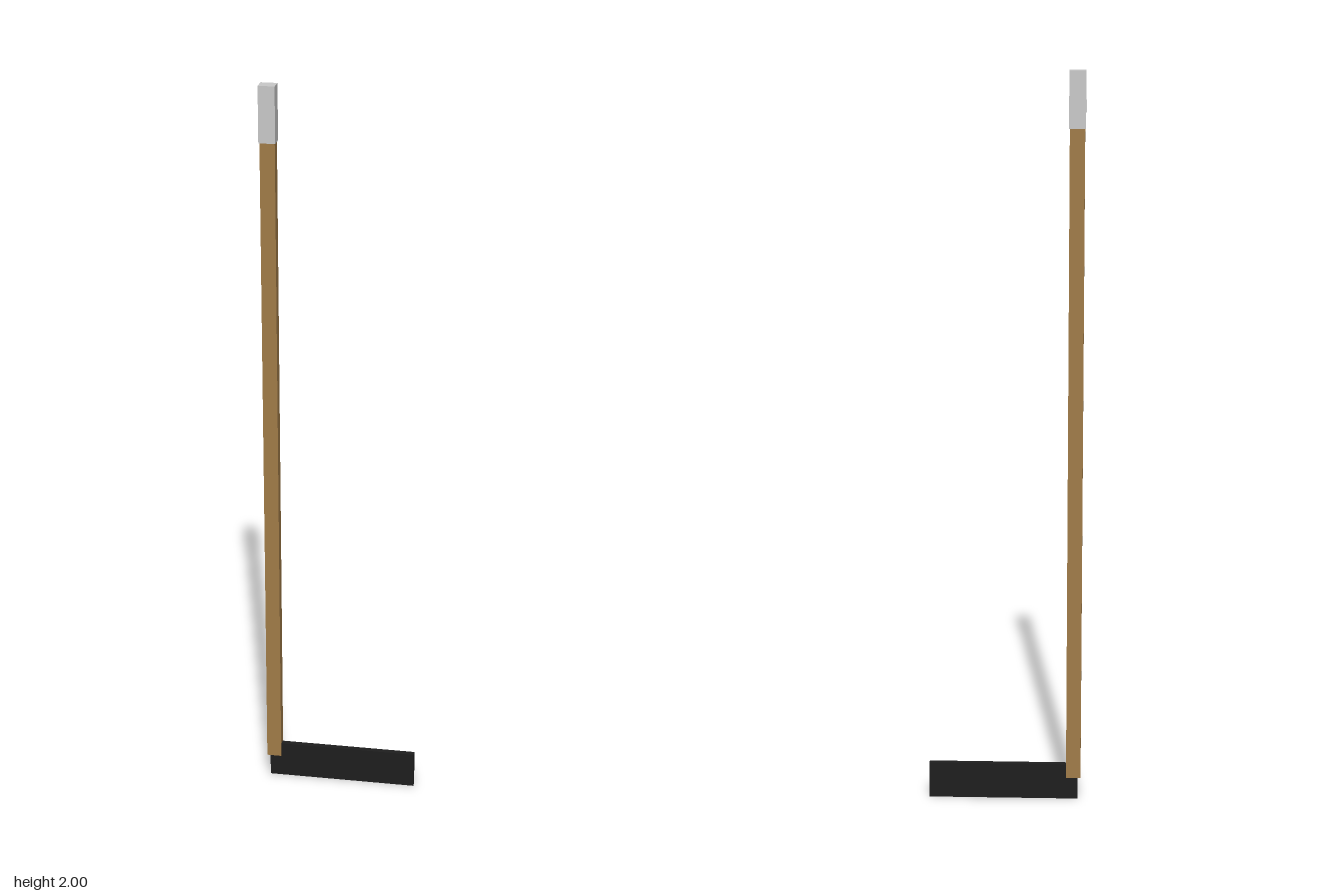
import * as THREE from 'three';

const material = (name, color) => {
  const m = new THREE.MeshStandardMaterial({ color });
  m.name = name;
  return m;
};

// Box given by its lower and upper limits on x and y, and its depth about z = 0
function bar(name, mat, x0, x1, y0, y1, depth) {
  const mesh = new THREE.Mesh(new THREE.BoxGeometry(x1 - x0, y1 - y0, depth), mat);
  mesh.position.set((x0 + x1) / 2, (y0 + y1) / 2, 0);
  mesh.name = name;
  return mesh;
}

export function createModel() {
  const wood = material('wood', 0xa17c48);
  const tape = material('lightGreyTape', 0xcacaca);
  const black = material('black', 0x1e1e1e);

  const model = new THREE.Group();
  model.name = 'stick';
  model.add(
    bar('shaft', wood, -0.208, -0.168, 0.063, 1.85, 0.029),
    bar('grip', tape, -0.21, -0.166, 1.85, 2, 0.038),
    bar('blade', black, -0.2, 0.21, 0, 0.1, 0.016), // passes through the foot of the shaft
  );
  return model;
}
